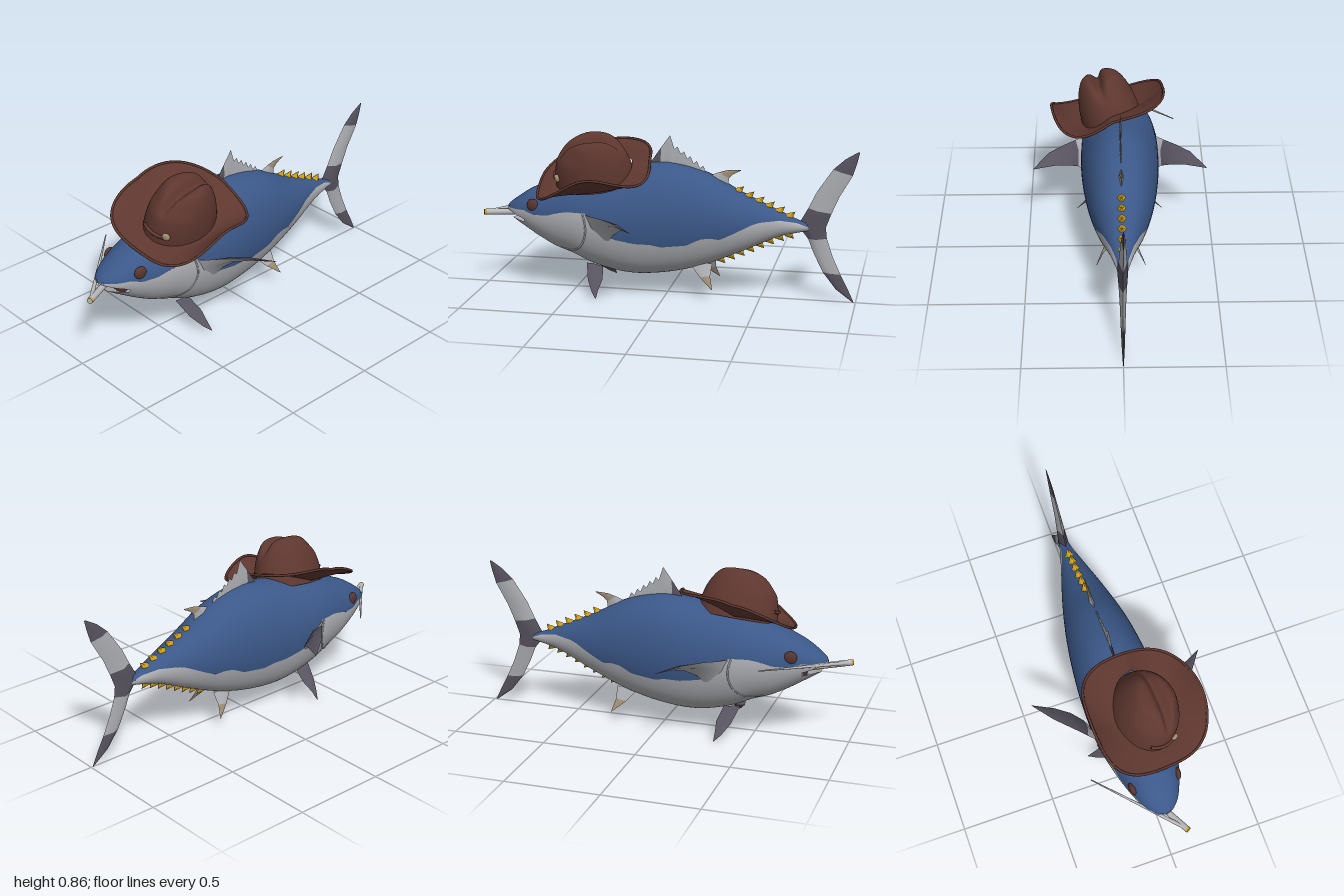
import * as THREE from 'three';
import { ParametricGeometry } from 'three/addons/geometries/ParametricGeometry.js';

const paint = (name, color) => {
  const m = new THREE.MeshStandardMaterial({ color, side: THREE.DoubleSide });
  m.name = name;
  return m;
};
const V = (x, y, z) => new THREE.Vector3(x, y, z);

export function createModel() {
  const blue = paint('back blue', 0x3b5889), silver = paint('belly silver', 0xacadb2);
  const dark = paint('fin charcoal', 0x57535f), tan = paint('fin tan', 0x9c8c74);
  const gold = paint('finlet gold', 0xd0a01c), brown = paint('hat brown', 0x5e372f);
  const maroon = paint('eye brown', 0x583630), brass = paint('button brass', 0xa08d6a);
  const paper = paint('paper white', 0xb8b8b8);

  const model = new THREE.Group();
  const add = (name, geo, mat, parent = model) => {
    const m = new THREE.Mesh(geo, mat);
    m.name = name;
    parent.add(m);
    return m;
  };

  // Body profile: z, top, bottom, half width
  const profile = [
    [-0.78, 0.415, 0.385, 0.018], [-0.7, 0.432, 0.37, 0.036], [-0.6, 0.475, 0.345, 0.064],
    [-0.4, 0.565, 0.255, 0.124], [-0.2, 0.668, 0.172, 0.17], [0, 0.712, 0.122, 0.198],
    [0.2, 0.692, 0.11, 0.21], [0.4, 0.662, 0.155, 0.205], [0.5, 0.635, 0.2, 0.19],
    [0.6, 0.6, 0.235, 0.166], [0.7, 0.56, 0.288, 0.137], [0.76, 0.53, 0.325, 0.114],
    [0.82, 0.49, 0.362, 0.083], [0.85, 0.468, 0.383, 0.057], [0.868, 0.453, 0.405, 0.034], [0.878, 0.44, 0.425, 0.003]];
  // Height of the line between back and belly colours: z, y
  const edgeLine = [
    [-0.78, 0.39], [-0.69, 0.424], [-0.6, 0.44], [-0.5, 0.432], [-0.46, 0.42], [-0.41, 0.395], [-0.37, 0.375],
    [-0.3, 0.342], [-0.25, 0.35], [-0.2, 0.345], [-0.13, 0.31], [0, 0.297], [0.06, 0.31], [0.14, 0.312],
    [0.24, 0.33], [0.31, 0.35], [0.36, 0.42], [0.4, 0.462], [0.5, 0.462], [0.56, 0.45], [0.62, 0.43],
    [0.7, 0.425], [0.76, 0.442], [0.878, 0.436]];
  const interp = (Type, rows) => new Type(rows.map(r => r[0]), rows.flatMap(r => r.slice(1)),
    rows[0].length - 1, new Float32Array(rows[0].length - 1));
  const shape = interp(THREE.CubicInterpolant, profile);
  const edge = interp(THREE.LinearInterpolant, edgeLine);
  const section = z => {
    const [top, bottom, w] = shape.evaluate(z);
    return { c: (top + bottom) / 2, h: (top - bottom) / 2, w };
  };
  const angleAt = (z, y) => {
    const { c, h } = section(z);
    return Math.asin(THREE.MathUtils.clamp((y - c) / h, -0.97, 0.97));
  };
  // Cross-sections are ovals, fuller below than above
  const surface = (z, a, out = V(0, 0, 0)) => {
    const { c, h, w } = section(z), k = Math.cos(a), s = Math.sin(a);
    return out.set(Math.sign(k) * w * Math.abs(k) ** (0.95 + 0.13 * Math.min(s, 0)), c + h * s, z);
  };
  const panel = (name, mat, z0, z1, from, to, nu, nv) => add(name,
    new ParametricGeometry((u, v, p) => {
      const z = z0 + (z1 - z0) * v, a = from(z), b = to(z);
      surface(z, a + (b - a) * u, p);
    }, nu, nv), mat);
  const edgeA = z => angleAt(z, edge.evaluate(z)[0]);
  const upperLip = z => angleAt(z, 0.392 + (z - 0.76) * 0.32);
  const lowerLip = z => angleAt(z, 0.374 + (z - 0.76) * 0.18);
  const PI = Math.PI, END = 0.878;

  // Body, jaws and mouth
  panel('back', blue, -0.78, END, edgeA, z => PI - edgeA(z), 32, 120);
  panel('belly', silver, -0.78, 0.76, z => PI - edgeA(z), z => 2 * PI + edgeA(z), 36, 120);
  panel('lowerJaw', silver, 0.76, 0.842, z => PI - lowerLip(z), z => 2 * PI + lowerLip(z), 32, 10);
  panel('upperLipLeft', silver, 0.76, END, upperLip, edgeA, 6, 16);
  panel('upperLipRight', silver, 0.76, END, z => PI - edgeA(z), z => PI - upperLip(z), 6, 16);
  add('palate', new ParametricGeometry((u, v, p) => {
    const z = 0.76 + (END - 0.76) * v;
    surface(z, upperLip(z), p);
    p.x *= 1 - 2 * u;
    p.y += 0.012 * Math.sin(PI * u) * (1 - v);
  }, 10, 16), silver);
  const mouth = add('mouthLining', new THREE.CircleGeometry(1, 32), maroon);
  mouth.position.set(0, 0.42, 0.761);
  mouth.scale.set(0.096, 0.085, 1);

  // Eyes and gill covers
  for (const s of [1, -1]) {
    const eye = add(s > 0 ? 'leftEye' : 'rightEye', new THREE.SphereGeometry(0.034, 24, 16), maroon);
    eye.position.set(s * 0.123, 0.474, 0.705);
    eye.scale.set(0.5, 1, 1);
    eye.rotation.y = s * -0.15;
    const gill = [[0.415, 0.46], [0.403, 0.42], [0.4, 0.36], [0.425, 0.29], [0.48, 0.245], [0.56, 0.245]]
      .map(([z, y]) => surface(z, angleAt(z, y)).multiply(V(s * 0.992, 1, 1)));
    add('gillEdge', new THREE.TubeGeometry(new THREE.CatmullRomCurve3(gill), 40, 0.005, 6), silver);
  }

  // Fin: rows of [leading point, trailing point, half thickness], bulging along n
  const fin = (name, rows, n, colour, mirror = 1) => {
    const flip = V(mirror, 1, 1), pos = [], idx = [], mats = [], geo = new THREE.BufferGeometry();
    const N = V(...n).normalize().multiply(flip);
    const pts = rows.map(([a, b, t]) => [V(...a).multiply(flip), V(...b).multiply(flip), t]);
    const half = Math.floor((pts.length - 1) / 2), mid = pts[half], next = pts[half + 1];
    const facing = mid[1].clone().sub(mid[0]).cross(next[0].clone().sub(mid[0])).dot(N);
    for (const side of [1, -1]) {
      const base = pos.length / 3;
      for (const [a, b, t] of pts) {
        const m = a.clone().lerp(b, 0.4).addScaledVector(N, side * t);
        for (const p of [a, m, b]) pos.push(p.x, p.y, p.z);
      }
      for (let i = 0; i < pts.length - 1; i++) {
        geo.addGroup(idx.length, 12, mats.length);
        mats.push(colour(i, side));
        for (let j = 0; j < 2; j++) {
          const a = base + i * 3 + j, b = a + 1, c = a + 3, d = a + 4;
          if (facing * side > 0) idx.push(a, b, c, b, d, c);
          else idx.push(a, c, b, b, c, d);
        }
      }
    }
    geo.setAttribute('position', new THREE.Float32BufferAttribute(pos, 3));
    geo.setIndex(idx);
    geo.computeVertexNormals();
    return add(name, geo, mats);
  };
  const flat = (y0, z0, y1, z1, t) => [[0, y0, z0], [0, y1, z1], t];

  // Crescent tail
  const tailMats = [dark, dark, silver, silver, dark, dark, silver, silver, dark, dark];
  fin('tailFin', [
    flat(0.805, -0.99, 0.803, -0.998, 0.002), flat(0.765, -0.925, 0.745, -0.985, 0.007),
    flat(0.71, -0.865, 0.68, -0.965, 0.011), flat(0.59, -0.785, 0.565, -0.9, 0.016),
    flat(0.5, -0.742, 0.475, -0.862, 0.021), flat(0.405, -0.69, 0.4, -0.835, 0.027),
    flat(0.335, -0.745, 0.34, -0.842, 0.021), flat(0.26, -0.775, 0.245, -0.875, 0.016),
    flat(0.16, -0.825, 0.15, -0.918, 0.012), flat(0.07, -0.895, 0.08, -0.955, 0.008),
    flat(0.003, -0.985, 0.005, -0.99, 0.002)], [1, 0, 0], i => tailMats[i]);

  // Spiny first dorsal, then the second dorsal
  const spines = [flat(0.69, 0.1, 0.71, 0.09, 0.004), flat(0.69, 0.04, 0.79, 0.035, 0.006),
    flat(0.69, 0.0, 0.855, -0.012, 0.006)];
  for (let i = 0; i < 11; i++) {
    const z = -0.02 - i * 0.017, top = 0.79 - i * 0.012 + (i % 2 ? 0.018 : -0.008);
    spines.push(flat(0.645, z, top, z - 0.015, 0.004));
  }
  fin('firstDorsalFin', spines, [1, 0, 0], i => (i === 0 ? dark : silver));
  fin('secondDorsalFin', [flat(0.65, -0.22, 0.59, -0.32, 0.014), flat(0.67, -0.275, 0.64, -0.325, 0.009),
    flat(0.683, -0.32, 0.66, -0.345, 0.006), flat(0.687, -0.388, 0.683, -0.388, 0.001)],
  [1, 0, 0], i => (i === 0 ? silver : tan));

  // Paired fins
  for (const s of [1, -1]) {
    const side = s > 0 ? 'left' : 'right';
    fin(side + 'PectoralFin', [
      [[0.19, 0.455, 0.41], [0.19, 0.3, 0.29], 0.018], [[0.24, 0.457, 0.36], [0.225, 0.36, 0.245], 0.017],
      [[0.3, 0.465, 0.3], [0.28, 0.4, 0.195], 0.013], [[0.38, 0.467, 0.22], [0.355, 0.427, 0.15], 0.008],
      [[0.465, 0.44, 0.1], [0.46, 0.438, 0.1], 0.001]],
    [-0.5, 0.7, -0.45], (i, up) => (up > 0 && i > 0 ? dark : silver), s);
    fin(side + 'PelvicFin', [
      [[0.06, 0.155, 0.43], [0.06, 0.14, 0.34], 0.008], [[0.14, 0.085, 0.405], [0.14, 0.09, 0.325], 0.006],
      [[0.2, 0.04, 0.37], [0.2, 0.05, 0.335], 0.004], [[0.24, 0.015, 0.34], [0.24, 0.015, 0.337], 0.001]],
    [0.6, 0.8, 0], (i, up) => (up < 0 && i === 0 ? silver : dark), s);
    fin(side + 'AnalFin', [
      [[0.06, 0.185, -0.13], [0.06, 0.19, -0.25], 0.008], [[0.095, 0.12, -0.19], [0.095, 0.13, -0.245], 0.005],
      [[0.13, 0.065, -0.26], [0.13, 0.067, -0.262], 0.001]],
    [0.8, 0.6, 0], i => (i === 0 ? silver : tan), s);
  }

  // Rows of finlets along the back and belly
  const finlets = (name, count, z0, z1, s) => {
    for (let i = 0; i < count; i++) {
      const z = z0 + (z1 - z0) * i / (count - 1);
      const f = add(name, new THREE.ConeGeometry(0.026, 0.046, 5), gold);
      f.position.copy(surface(z, s * PI / 2)).add(V(0, s * 0.012, -0.004));
      f.rotation.x = s > 0 ? -0.8 : PI + 0.8;
    }
  };
  finlets('upperFinlet', 6, -0.385, -0.655, 1);
  finlets('lowerFinlet', 8, -0.29, -0.65, -1);

  // Cigarette with its trailing wisp
  const rod = (name, a, b, ra, rb, mat) => {
    const d = b.clone().sub(a), m = add(name, new THREE.CylinderGeometry(rb, ra, d.length(), 16), mat);
    m.position.copy(a).lerp(b, 0.5);
    m.quaternion.setFromUnitVectors(V(0, 1, 0), d.normalize());
  };
  const butt = V(-0.025, 0.4, 0.79), end = V(0.08, 0.413, 0.99);
  const at = t => butt.clone().lerp(end, t);
  rod('cigaretteFilter', butt, at(0.2), 0.016, 0.016, gold);
  rod('cigarettePaper', at(0.2), at(0.95), 0.016, 0.016, paper);
  rod('cigaretteTip', at(0.95), end, 0.016, 0.015, [gold, paper, paper]);
  rod('smokeWisp', V(-0.305, 0.453, 0.585), at(0.93), 0.003, 0.011, paper);

  // Hat, tipped forward and to one side
  const hat = new THREE.Group();
  hat.name = 'hat';
  hat.position.set(0.05, 0.618, 0.38);
  hat.rotation.set(0.12, 0.1, -0.27);
  model.add(hat);
  // Brim curls up at both sides and rides high over the back
  const brimPoint = (theta, t, p = V(0, 0, 0)) => {
    const c = Math.cos(theta), s = Math.sin(theta);
    const r = (Math.abs(c) ** 3 + Math.abs(s) ** 3) ** (-1 / 3);
    const curl = (c > 0 ? 0.135 : 0.062) * c ** 4 - (s > 0 ? 0.012 * s * s : 0);
    const x = c * THREE.MathUtils.lerp(0.158, (c > 0 ? 0.292 : 0.312) * r, t);
    const z = s * THREE.MathUtils.lerp(0.208, 0.305 * r, t);
    const rear = Math.max(0, -s) * (1 - Math.max(0, c)) * (0.072 + 0.01 * t);
    return p.set(x, curl * t ** 1.7 + rear, z);
  };
  add('hatBrim', new ParametricGeometry((u, v, p) => brimPoint(u * 2 * PI, v, p), 72, 12), brown, hat);
  const rim = Array.from({ length: 48 }, (_, i) => brimPoint(i / 48 * 2 * PI, 1));
  add('hatRim', new THREE.TubeGeometry(new THREE.CatmullRomCurve3(rim, true), 96, 0.007, 6, true), brown, hat);

  // Crown with a long crease and pinched front
  const crownProfile = new THREE.SplineCurve([[1, -0.01], [0.96, 0.06], [0.87, 0.13], [0.74, 0.188], [0.59, 0.225],
    [0.38, 0.24], [0.001, 0.242]].map(p => new THREE.Vector2(...p)));
  const crown = new THREE.LatheGeometry(crownProfile.getPoints(40), 72);
  const cp = crown.attributes.position;
  for (let i = 0; i < cp.count; i++) {
    let x = cp.getX(i) * 0.162, y = cp.getY(i), z = cp.getZ(i) * 0.212;
    const high = THREE.MathUtils.smoothstep(y, 0.12, 0.24);
    const front = THREE.MathUtils.smoothstep(z, 0, 0.17);
    y -= high * (0.045 * Math.exp(-(((x - 0.015) / 0.028) ** 2)) + 0.02 * front);
    x *= 1 - 0.25 * high * front;
    cp.setXYZ(i, x, y, z);
  }
  crown.computeVertexNormals();
  add('hatCrown', crown, brown, hat);

  // Strap and button on the crown
  const band = (a, y) => V(0.16 * Math.cos(a), y, 0.21 * Math.sin(a));
  const strap = Array.from({ length: 10 }, (_, i) => band(2.0 - i * 0.1, 0.05));
  add('hatStrap', new THREE.TubeGeometry(new THREE.CatmullRomCurve3(strap), 30, 0.009, 8), brown, hat);
  const button = add('hatButton', new THREE.SphereGeometry(0.022, 20, 14), brass, hat);
  button.position.copy(band(1.1, 0.058));
  button.scale.set(1, 1, 0.6);
  button.rotation.y = 0.4;

  return model;
}
